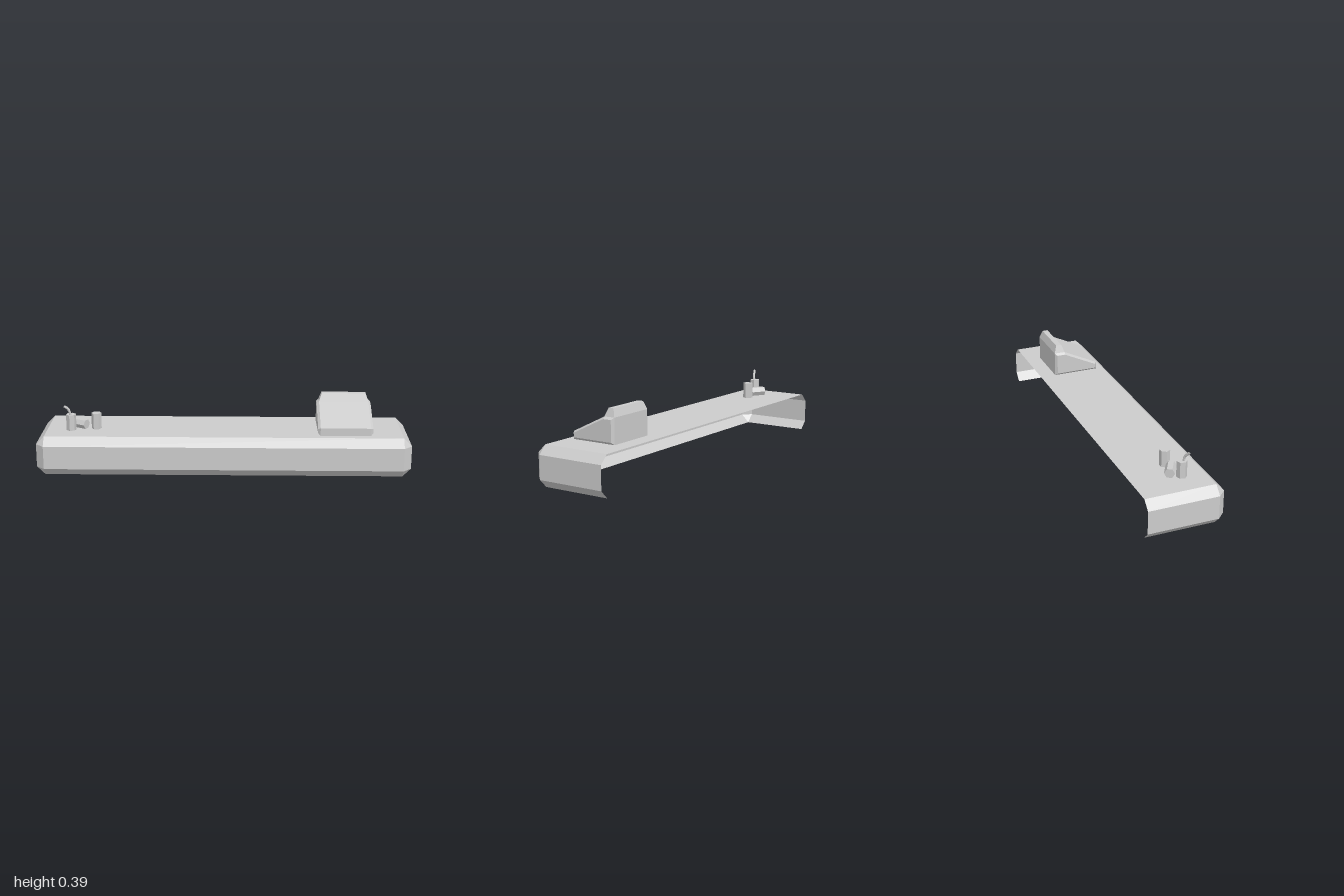
import * as THREE from 'three';

const material = new THREE.MeshStandardMaterial({ color: 0xcccccc, flatShading: true, side: THREE.DoubleSide });

// Skin a row of rings with quads; closed rings join up, caps fill the chosen ends.
function loft(rings, { closed = true, startCap = true, endCap = true } = {}) {
  const pos = [];
  const tri = (...pts) => pts.forEach(p => pos.push(...p));
  const n = rings[0].length;
  for (let r = 0; r < rings.length - 1; r++) {
    for (let i = 0; i < (closed ? n : n - 1); i++) {
      const j = (i + 1) % n;
      const a = rings[r][i], b = rings[r][j], c = rings[r + 1][j], d = rings[r + 1][i];
      tri(a, b, c);
      tri(a, c, d);
    }
  }
  const fan = (ring, flip) => {
    for (let i = 1; i < n - 1; i++) {
      if (flip) tri(ring[0], ring[i + 1], ring[i]);
      else tri(ring[0], ring[i], ring[i + 1]);
    }
  };
  if (startCap) fan(rings[0], true);
  if (endCap) fan(rings[rings.length - 1], false);
  const geo = new THREE.BufferGeometry();
  geo.setAttribute('position', new THREE.Float32BufferAttribute(pos, 3));
  geo.computeVertexNormals();
  return geo;
}

function add(parent, name, geometry) {
  const mesh = new THREE.Mesh(geometry, material);
  mesh.name = name;
  parent.add(mesh);
  return mesh;
}

const TOP = 0.213;

// Chamfered counter shell, open at the back and underneath.
function counterGeometry() {
  const X = 1, Z = 0.21, c = 0.044;
  const wide = y => [[-X, y, -Z], [-X, y, Z - c], [-X + c, y, Z], [X - c, y, Z], [X, y, Z - c], [X, y, -Z]];
  const inset = y => wide(y).map(([x, , z]) => [Math.sign(x) * (X - c), y, Math.min(z, Z - c)]);
  return loft([inset(0), wide(c), wide(TOP - c), inset(TOP)], { closed: false, startCap: false });
}

// Sloped register body: a side profile swept across x with chamfered cheeks.
function registerGeometry() {
  const outer = [[-0.125, 0.348], [-0.065, 0.348], [0.128, 0.254], [0.128, TOP], [-0.125, TOP]];
  const inner = [[-0.113, 0.337], [-0.067, 0.337], [0.118, 0.248], [0.118, 0.225], [-0.113, 0.225]];
  const ring = (profile, x) => profile.map(([z, y]) => [x, y, z]);
  return loft([ring(inner, -0.147), ring(outer, -0.134), ring(outer, 0.134), ring(inner, 0.147)]);
}

// Tapered display block on the register.
function displayGeometry() {
  const ring = (w, y, z0, z1) => [[-w, y, z1], [w, y, z1], [w, y, z0], [-w, y, z0]];
  return loft([ring(0.134, 0.348, -0.125, -0.065), ring(0.12, 0.39, -0.11, -0.08)]);
}

export function createModel() {
  const model = new THREE.Group();
  model.name = 'counter with register and cups';

  add(model, 'counter', counterGeometry());

  const register = new THREE.Group();
  register.name = 'cashRegister';
  register.position.x = 0.651;
  add(register, 'registerBody', registerGeometry());
  add(register, 'registerDisplay', displayGeometry());
  model.add(register);

  // Three six-sided cups, the middle one tipped over.
  const cup = new THREE.CylinderGeometry(0.027, 0.027, 0.087, 6).rotateY(Math.PI / 6);
  const strawCup = add(model, 'strawCup', cup);
  strawCup.position.set(-0.825, TOP + 0.0435, 0.044);
  strawCup.rotation.y = 0.3;
  add(model, 'plainCup', cup).position.set(-0.692, TOP + 0.0435, 0.014);
  const fallen = add(model, 'fallenCup', cup);
  fallen.position.set(-0.782, TOP + 0.025, 0.004);
  fallen.quaternion.setFromUnitVectors(new THREE.Vector3(0, 1, 0), new THREE.Vector3(0.86, 0, 0.5).normalize());

  // Bent drinking straw.
  const bend = new THREE.CatmullRomCurve3([
    new THREE.Vector3(-0.828, 0.295, 0.052),
    new THREE.Vector3(-0.83, 0.315, 0.053),
    new THREE.Vector3(-0.839, 0.335, 0.058),
    new THREE.Vector3(-0.856, 0.35, 0.066),
  ]);
  add(model, 'straw', new THREE.TubeGeometry(bend, 4, 0.007, 6));

  return model;
}
